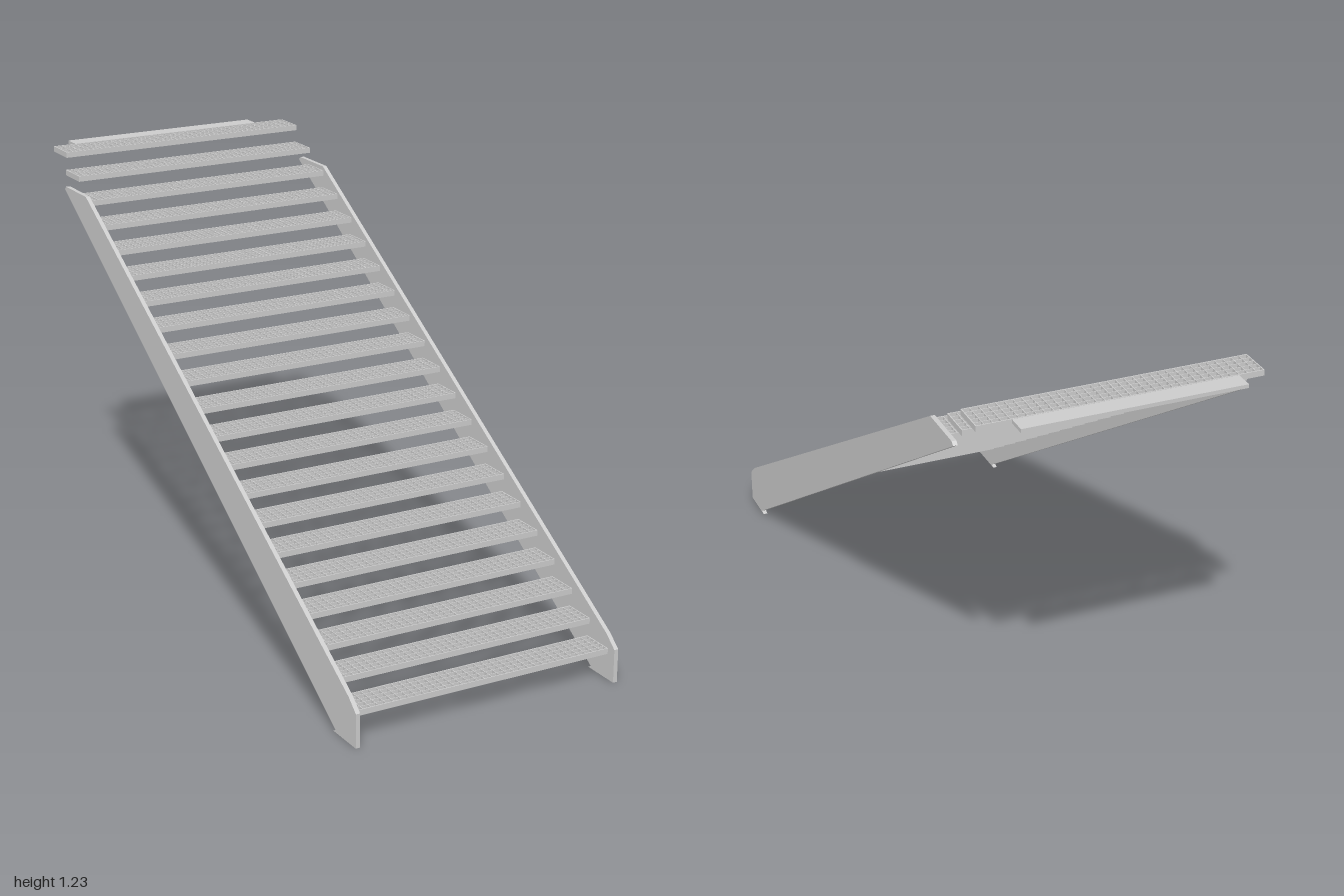
import * as THREE from 'three';
import { mergeGeometries } from 'three/addons/utils/BufferGeometryUtils.js';

const mat = new THREE.MeshStandardMaterial({ color: 0xcccccc });

const STEPS = 21, RISE = 0.0569, RUN = 0.0908;
const HALF = 0.407, DEPTH = 0.1, THICK = 0.017;

function box(w, h, d, x, y, z) {
  return new THREE.BoxGeometry(w, h, d).translate(x, y, z);
}

// Open grating: a rim of flat bars around crossing bars, top at y = 0, front at z = 0
function treadGeometry() {
  const parts = [], rim = 0.003, y = -THICK / 2;
  for (const z of [-rim / 2, -DEPTH + rim / 2]) parts.push(box(HALF * 2, THICK, rim, 0, y, z));
  for (const s of [-1, 1]) parts.push(box(rim, THICK, DEPTH - rim * 2, s * (HALF - rim / 2), y, -DEPTH / 2));
  const nx = 34, nz = 5;
  for (let i = 1; i < nx; i++) {
    parts.push(box(0.002, THICK - 0.001, DEPTH - rim * 2, -HALF + (2 * HALF * i) / nx, y, -DEPTH / 2));
  }
  for (let j = 1; j < nz; j++) {
    parts.push(box((HALF - rim) * 2, THICK - 0.002, 0.002, 0, y, (-DEPTH * j) / nz));
  }
  return mergeGeometries(parts);
}

// Sloping side plate, drawn in (z, y) and extruded along x
function stringerGeometry(thickness) {
  const shape = new THREE.Shape([
    [1, 0], [1, 0.1], [0.96, 0.135], [-0.67, 1.131], [-0.82, 1.131], [-0.83, 1.122], [0.895, 0.005], [0.88, 0],
  ].map(([z, y]) => new THREE.Vector2(-z, y)));
  return new THREE.ExtrudeGeometry(shape, { depth: thickness, bevelEnabled: false })
    .translate(0, 0, -thickness / 2)
    .rotateY(Math.PI / 2);
}

export function createModel() {
  const model = new THREE.Group();
  model.name = 'staircase';
  const add = (name, geometry, x = 0, y = 0, z = 0) => {
    const mesh = new THREE.Mesh(geometry, mat);
    mesh.name = name;
    mesh.position.set(x, y, z);
    model.add(mesh);
  };

  // Side stringers
  const plate = stringerGeometry(0.013);
  add('leftStringer', plate, 0.4155);
  add('rightStringer', plate, -0.4155);

  // Flight of grating treads
  const tread = treadGeometry();
  for (let i = 0; i < STEPS; i++) {
    add(`tread${i + 1}`, tread, 0, 0.095 + i * RISE, 0.972 - i * RUN);
  }

  // Solid landing strip behind the top tread
  add('landingPlate', box(0.64, 0.011, 0.056, -0.012, 1.2265, -0.972));
  return model;
}
